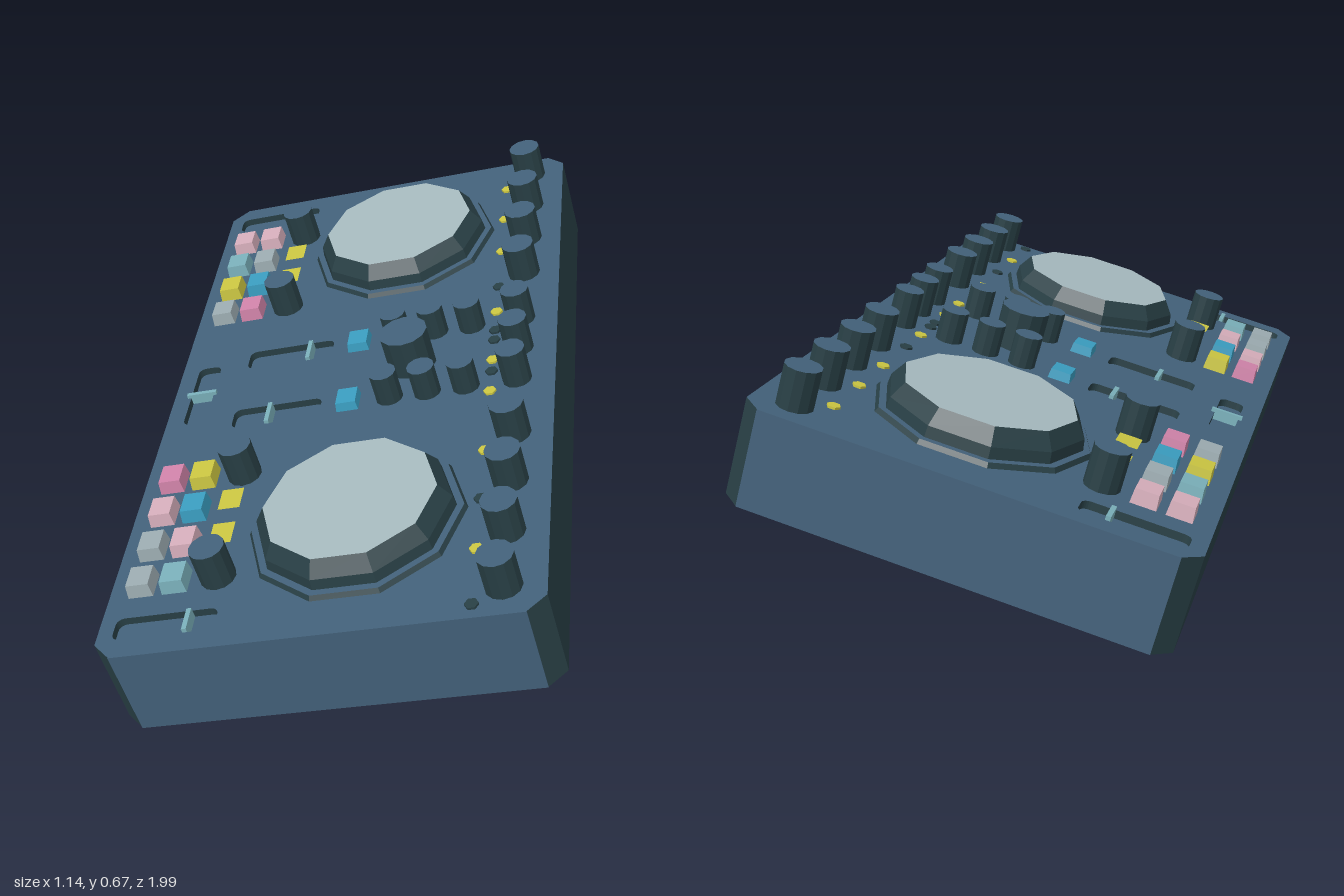
import * as THREE from 'three';

const mat = (name, color) => {
  const m = new THREE.MeshStandardMaterial({ color, flatShading: true });
  m.name = name;
  return m;
};

export function createModel() {
  const blue = mat('slate blue', 0x43617a);
  const dark = mat('dark teal', 0x283f45);
  const pale = mat('pale grey', 0xa6babf);
  const grey = mat('pad grey', 0x9cacb1);
  const rose = mat('light pink', 0xd6aebb);
  const pink = mat('pink', 0xd083a9);
  const yellow = mat('yellow', 0xcbc642);
  const cyan = mat('bright blue', 0x3a9dc0);
  const aqua = mat('soft aqua', 0x7ab0ba);

  const model = new THREE.Group();
  model.name = 'mixingController';
  // Working space: y = 0 is the control surface, x runs across, z along the length
  const unit = new THREE.Group();
  unit.name = 'tiltedUnit';
  model.add(unit);

  const add = (name, geometry, material, x = 0, y = 0, z = 0) => {
    const mesh = new THREE.Mesh(geometry, material);
    mesh.name = name;
    mesh.position.set(x, y, z);
    unit.add(mesh);
    return mesh;
  };

  // Case: chamfered outline, with slider slots cut in the top plate
  const W = 0.54, L = 0.988, C = 0.045, H = 0.243, plate = 0.02;
  const outline = () => new THREE.Shape([
    [-W + C, -L], [W - C, -L], [W, -L + C], [W, L - C],
    [W - C, L], [-W + C, L], [-W, L - C], [-W, -L + C],
  ].map(([x, y]) => new THREE.Vector2(x, y)));
  const slab = (shape, depth) =>
    new THREE.ExtrudeGeometry(shape, { depth, bevelEnabled: false, curveSegments: 3 }).rotateX(-Math.PI / 2);
  const slot = (cx, cz, w, l, r = 0.02) => {
    const p = new THREE.Path(), x = w / 2, y = l / 2, cy = -cz;
    p.absarc(cx + x - r, cy + y - r, r, 0, Math.PI / 2);
    p.absarc(cx - x + r, cy + y - r, r, Math.PI / 2, Math.PI);
    p.absarc(cx - x + r, cy - y + r, r, Math.PI, Math.PI * 1.5);
    p.absarc(cx + x - r, cy - y + r, r, Math.PI * 1.5, Math.PI * 2);
    p.closePath();
    return p;
  };
  add('case', slab(outline(), H - plate), [blue, dark], 0, -H, 0);
  const top = outline();
  top.holes.push(slot(-0.457, 0, 0.066, 0.254));
  for (const s of [-1, 1]) {
    top.holes.push(slot(-0.372, s * 0.898, 0.257, 0.07), slot(-0.219, s * 0.133, 0.248, 0.078));
    add('endPanel', new THREE.BoxGeometry(2 * (W - C), H, 0.002), blue, 0, -H / 2, s * (L + 0.001));
  }
  add('topPlate', slab(top, plate), [blue, dark], 0, -plate, 0);

  // Slider handles
  const handle = (x, z, w, l) => add('sliderHandle', new THREE.BoxGeometry(w, 0.03, l), aqua, x, -0.005, z);
  handle(-0.457, 0, 0.085, 0.012);
  handle(-0.315, -0.898, 0.012, 0.068);
  handle(-0.315, 0.898, 0.012, 0.068);
  handle(-0.163, -0.133, 0.012, 0.08);
  handle(-0.24, 0.133, 0.012, 0.08);

  // Faceted drum with its own side and top colours
  const drum = (name, rTop, rBase, y0, y1, sides, mats, x, z) =>
    add(name, new THREE.CylinderGeometry(rTop, rBase, y1 - y0, sides).rotateY(Math.PI / 2), mats, x, (y0 + y1) / 2, z);

  // Jog wheels
  for (const z of [-0.617, 0.617]) {
    drum('jogWheelLip', 0.268, 0.275, 0, 0.012, 10, [dark, blue, blue], 0.066, z);
    drum('jogWheelRim', 0.246, 0.25, 0.012, 0.04, 10, [dark, dark, dark], 0.066, z);
    drum('jogWheelDisc', 0.218, 0.246, 0.04, 0.08, 10, [dark, pale, dark], 0.066, z);
  }

  // Knobs
  const knob = (x, z, r, h) => drum('knob', r, r, 0, h, 12, [dark, blue, blue], x, z);
  knob(0.147, 0, 0.066, 0.11);
  knob(0.44, 0, 0.039, 0.1);
  for (const s of [-1, 1]) {
    for (const z of [0.36, 0.54, 0.72, 0.9]) knob(0.44, s * z, 0.045, 0.1);
    knob(0.44, s * 0.135, 0.039, 0.1);
    for (const x of [0.097, 0.2, 0.304]) knob(x, s * 0.135, 0.037, 0.085);
    for (const z of [0.378, 0.757]) knob(-0.264, s * z, 0.045, 0.1);
  }

  // Pads: boxes that narrow slightly to the top
  const pad = (x, z, w, l, h, material) => {
    const g = new THREE.BoxGeometry(w, h, l).translate(0, h / 2, 0);
    const p = g.attributes.position;
    for (let i = 0; i < p.count; i++)
      if (p.getY(i) > 0) p.setXYZ(i, p.getX(i) * 0.9, h, p.getZ(i) * 0.9);
    add('pad', g, material, x, 0, z);
  };
  const columns = [-0.456, -0.37, -0.27];
  const banks = [
    [-0.758, [[rose, rose], [aqua, grey, yellow], [yellow, cyan, yellow], [grey, pink]]],
    [0.378, [[pink, yellow], [rose, cyan, yellow], [grey, rose, yellow], [grey, aqua]]],
  ];
  for (const [z0, rows] of banks)
    rows.forEach((row, r) => row.forEach((m, c) =>
      pad(columns[c], z0 + r * 0.127, 0.064, c === 2 ? 0.082 : 0.074, c === 2 ? 0.03 : 0.037, m)));
  for (const z of [-0.133, 0.133]) pad(-0.016, z, 0.06, 0.07, 0.025, cyan);

  // Indicator lights
  const lights = (material, spots) => {
    for (const z of spots) drum('indicatorLight', 0.017, 0.017, 0, 0.006, 6, material, 0.37, z);
  };
  lights(yellow, [-0.835, -0.663, -0.488, -0.182, 0.04, 0.175, 0.415, 0.77]);
  lights(dark, [-0.305, -0.095, -0.05, 0.09, 0.595, 0.95]);

  // Rest pose: raised towards +x, with a slight twist
  const ez = new THREE.Vector3(0.017, -0.043, 1).normalize();
  const ex = new THREE.Vector3(0.967, 0.255, 0);
  ex.addScaledVector(ez, -ex.dot(ez)).normalize();
  const ey = new THREE.Vector3().crossVectors(ez, ex);
  unit.quaternion.setFromRotationMatrix(new THREE.Matrix4().makeBasis(ex, ey, ez));
  unit.position.set(-0.03, 0.414, 0.004);
  return model;
}
